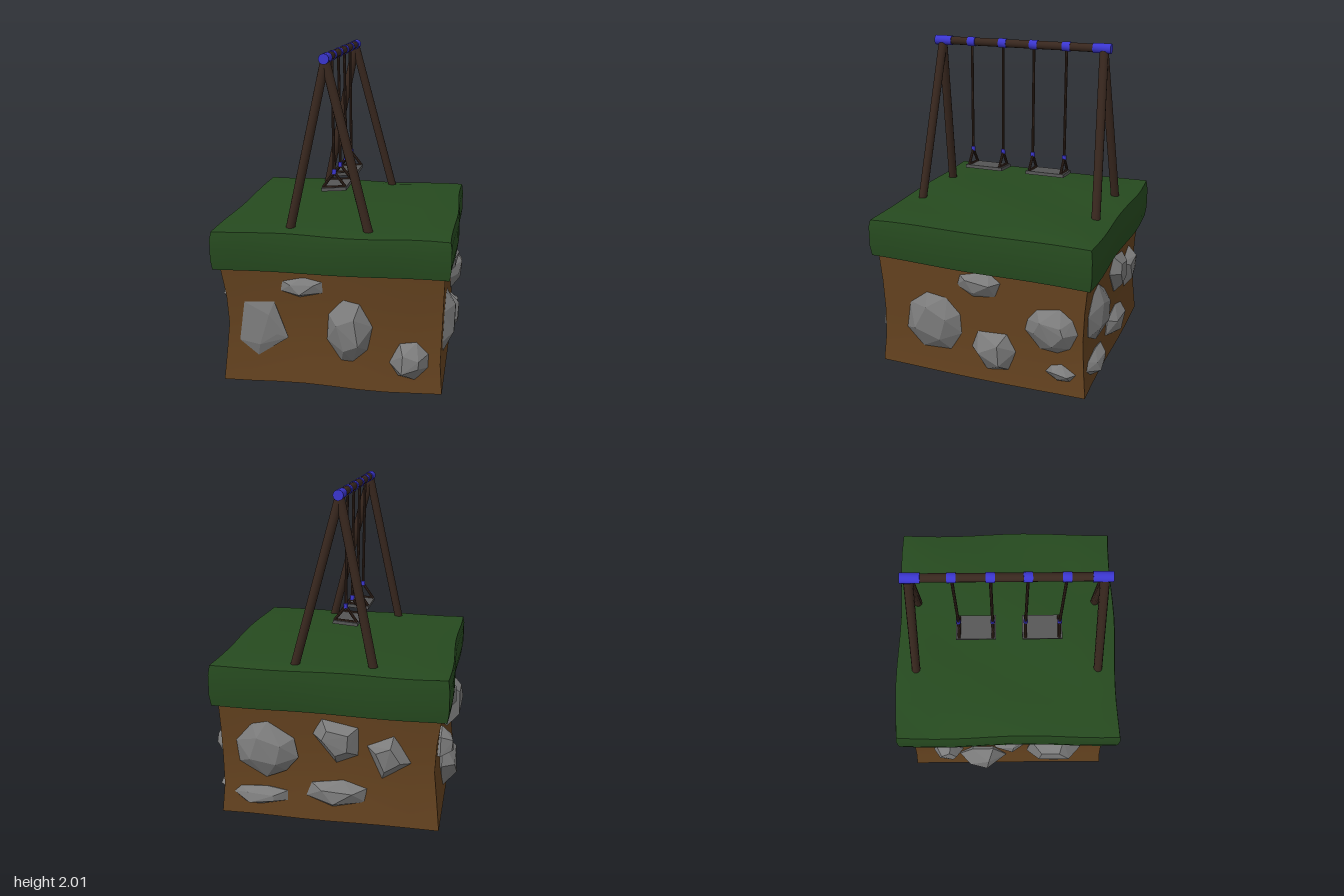
import * as THREE from 'three';
import { toCreasedNormals } from 'three/addons/utils/BufferGeometryUtils.js';
import { ConvexGeometry } from 'three/addons/geometries/ConvexGeometry.js';

const paint = (color) => new THREE.MeshStandardMaterial({ color });
const grassMat = paint(0x264a1f), soilMat = paint(0x64421f), rockMat = paint(0x7c7c7c);
const woodMat = paint(0x38271e), blueMat = paint(0x3b36d0), seatMat = paint(0x565656);
const V = (x, y, z) => new THREE.Vector3(x, y, z);

function add(parent, name, geometry, material) {
  const mesh = new THREE.Mesh(geometry, material);
  mesh.name = name;
  parent.add(mesh);
  return mesh;
}

// Round bar between two points
function bar(parent, name, a, b, radius, material, sides = 12) {
  const mesh = add(parent, name, new THREE.CylinderGeometry(radius, radius, a.distanceTo(b), sides), material);
  mesh.geometry = toCreasedNormals(mesh.geometry, 0.9);
  mesh.position.copy(a).lerp(b, 0.5);
  mesh.quaternion.setFromUnitVectors(V(0, 1, 0), b.clone().sub(a).normalize());
  return mesh;
}

// Box whose vertices are moved by a rule
function warpedBox(w, h, d, n, rule) {
  const geometry = new THREE.BoxGeometry(w, h, d, n, 4, n);
  const pos = geometry.attributes.position;
  const p = V(0, 0, 0);
  for (let i = 0; i < pos.count; i++) {
    rule(p.fromBufferAttribute(pos, i));
    pos.setXYZ(i, p.x, p.y, p.z);
  }
  return toCreasedNormals(geometry, 0.6);
}

function seeded(seed) {
  let s = seed * 7919 + 17;
  return () => (s = (s * 16807) % 2147483647) / 2147483647;
}

// Faceted stone: shrinking jittered rings, bulging toward +z
function stoneGeometry(w, h, depth, sides, tilt, seed) {
  const rnd = seeded(seed);
  for (let i = 0; i < 5; i++) rnd();
  const outline = [];
  for (let i = 0; i < sides; i++) {
    const a = ((i + 0.5 * rnd()) / sides) * Math.PI * 2 + tilt;
    const r = 0.94 + 0.12 * rnd();
    outline.push([Math.cos(a) * r, Math.sin(a) * r]);
  }
  // stretch the outline to the wanted width and height
  const fit = (k, size) => {
    const v = outline.map((p) => p[k]);
    const lo = Math.min(...v), hi = Math.max(...v);
    outline.forEach((p) => { p[k] = ((p[k] - lo) / (hi - lo) - 0.5) * size; });
  };
  fit(0, w);
  fit(1, h);
  const points = [];
  for (const [scale, z] of [[0.8, -0.07], [1, 0.005], [0.55, depth]]) {
    outline.forEach(([x, y], i) => {
      if (scale === 0.55 && i % 2 && sides > 5) return;
      points.push(V(x * scale, y * scale, z + (scale === 0.55 ? (rnd() - 0.5) * 0.025 : 0)));
    });
  }
  return new ConvexGeometry(points);
}

export function createModel() {
  const model = new THREE.Group();

  // Soil block, slightly pinched at mid height
  const soil = warpedBox(1.32, 0.72, 1.32, 8, (p) => {
    const pinch = 1 - 0.035 * Math.cos((p.y / 0.36) * Math.PI / 2);
    const wave = 0.008 * Math.sin(p.y * 9 + 1);
    p.x = p.x * pinch + wave + 0.015;
    p.z = p.z * pinch + 0.006 * Math.sin(p.x * 6);
    p.y += 0.4 + 0.005 * Math.sin(p.x * 7 + p.z * 4);
  });
  add(model, 'soilBlock', soil, soilMat);

  // Grass slab with rolling top, wavy sides and softened rims
  const grass = warpedBox(1.4, 0.25, 1.4, 12, (p) => {
    const { x, y, z } = p;
    const top = y > 0.12, rim = Math.abs(x) > 0.69 || Math.abs(z) > 0.69;
    if (Math.abs(y) > 0.12 && rim) { p.x *= 0.988; p.z *= 0.988; }
    p.x += 0.01 + 0.008 * Math.sin(z * 6 + 1);
    p.z += -0.003 + 0.009 * Math.sin(x * 7 + 1) + (z < 0 ? 0.015 * Math.max(0, x) : 0);
    p.y += 0.872 + (top
      ? 0.018 * Math.cos(z * 2.2) * Math.cos((x - 0.2) * 2) - 0.002 + 0.004 * Math.sin(x * 8 + z * 5)
      : 0.008 * x + 0.014 * z);
    if (top && rim) p.y -= 0.008;
  });
  add(model, 'grassSlab', grass, grassMat);

  // Embedded stones per face: across, height, width, tall, depth, sides, tilt
  const faces = [
    { name: 'front', turn: 0, stones: [
      [-0.41, 0.38, 0.30, 0.35, 0.02, 5, 0.7], [-0.17, 0.66, 0.26, 0.13, 0.05, 6, 0.3],
      [0.11, 0.40, 0.27, 0.39, 0.08, 8, 0.9], [0.46, 0.24, 0.23, 0.24, 0.08, 7, 0.2]] },
    { name: 'right', turn: Math.PI / 2, stones: [
      [-0.30, 0.38, 0.37, 0.38, 0.07, 8, 0.2], [0, 0.67, 0.30, 0.19, 0.06, 6, 0.1],
      [0.45, 0.45, 0.33, 0.29, 0.07, 9, 0.5], [0.09, 0.24, 0.28, 0.26, 0.07, 6, 0.8],
      [0.51, 0.18, 0.19, 0.11, 0.05, 6, 0]] },
    { name: 'back', turn: Math.PI, stones: [
      [-0.37, 0.47, 0.38, 0.36, 0.07, 8, 0.4], [0.05, 0.56, 0.28, 0.28, 0.06, 5, 0.5],
      [0.36, 0.48, 0.26, 0.28, 0.06, 4, 0.6], [-0.42, 0.17, 0.34, 0.12, 0.06, 7, 0.2],
      [0.05, 0.22, 0.37, 0.18, 0.06, 6, 0.1]] },
    { name: 'left', turn: -Math.PI / 2, stones: [
      [-0.17, 0.27, 0.32, 0.32, 0.08, 6, 0.7], [-0.40, 0.49, 0.20, 0.20, 0.07, 5, 0.9],
      [0, 0.65, 0.26, 0.21, 0.06, 6, 0.6], [0.31, 0.50, 0.36, 0.36, 0.08, 5, 0.8]] },
  ];
  let seed = 1;
  for (const { name, turn, stones } of faces) {
    const side = new THREE.Group();
    side.name = `${name}Stones`;
    side.rotation.y = turn;
    side.position.x = 0.01;
    for (const [x, y, w, h, depth, sides, tilt] of stones) {
      add(side, 'stone', stoneGeometry(w, h, depth, sides, tilt, seed++), rockMat).position.set(x, y, 0.64);
    }
    model.add(side);
  }
  const underStone = add(model, 'undersideStone', stoneGeometry(0.28, 0.22, 0.042, 7, 0.3, 31), rockMat);
  underStone.rotation.x = Math.PI / 2;
  underStone.position.set(-0.36, 0.045, 0.32);

  // Swing frame: top beam, splayed legs, end sleeves
  const frame = new THREE.Group();
  frame.name = 'swingFrame';
  model.add(frame);
  const bx = -0.04, by = 1.97;
  bar(frame, 'topBeam', V(bx, by, -0.55), V(bx, by, 0.55), 0.025, woodMat);
  for (const s of [1, -1]) {
    bar(frame, 'endSleeve', V(bx, by, s * 0.46), V(bx, by, s * 0.57), 0.03, blueMat, 16);
    for (const footX of [-0.25, 0.225]) {
      bar(frame, 'leg', V(bx, 1.96, s * 0.525), V(footX, 0.96, s * 0.578), 0.027, woodMat);
    }
  }

  // Two swings: ropes with collars, triangular hangers and a tilted seat
  for (const centre of [0.22, -0.19]) {
    const swing = new THREE.Group();
    swing.name = 'swing';
    swing.position.z = centre;
    for (const z of [-0.104, 0.104]) {
      bar(swing, 'ropeSleeve', V(bx, by, z - 0.025), V(bx, by, z + 0.025), 0.029, blueMat, 16);
      const knot = V(-0.03, 1.28, z);
      bar(swing, 'rope', V(bx, by, z), knot, 0.009, woodMat, 8);
      bar(swing, 'ropeCollar', V(-0.03, 1.268, z), V(-0.03, 1.297, z), 0.014, blueMat, 10);
      const left = V(-0.098, 1.183, z), right = V(0.038, 1.193, z);
      bar(swing, 'hanger', knot, left, 0.009, woodMat, 8);
      bar(swing, 'hanger', knot, right, 0.009, woodMat, 8);
      bar(swing, 'hangerBase', left, right, 0.009, woodMat, 8);
    }
    const seat = add(swing, 'seat', new THREE.BoxGeometry(0.152, 0.02, 0.248), seatMat);
    seat.position.set(-0.029, 1.177, 0);
    seat.rotation.z = 0.08;
    model.add(swing);
  }
  return model;
}
